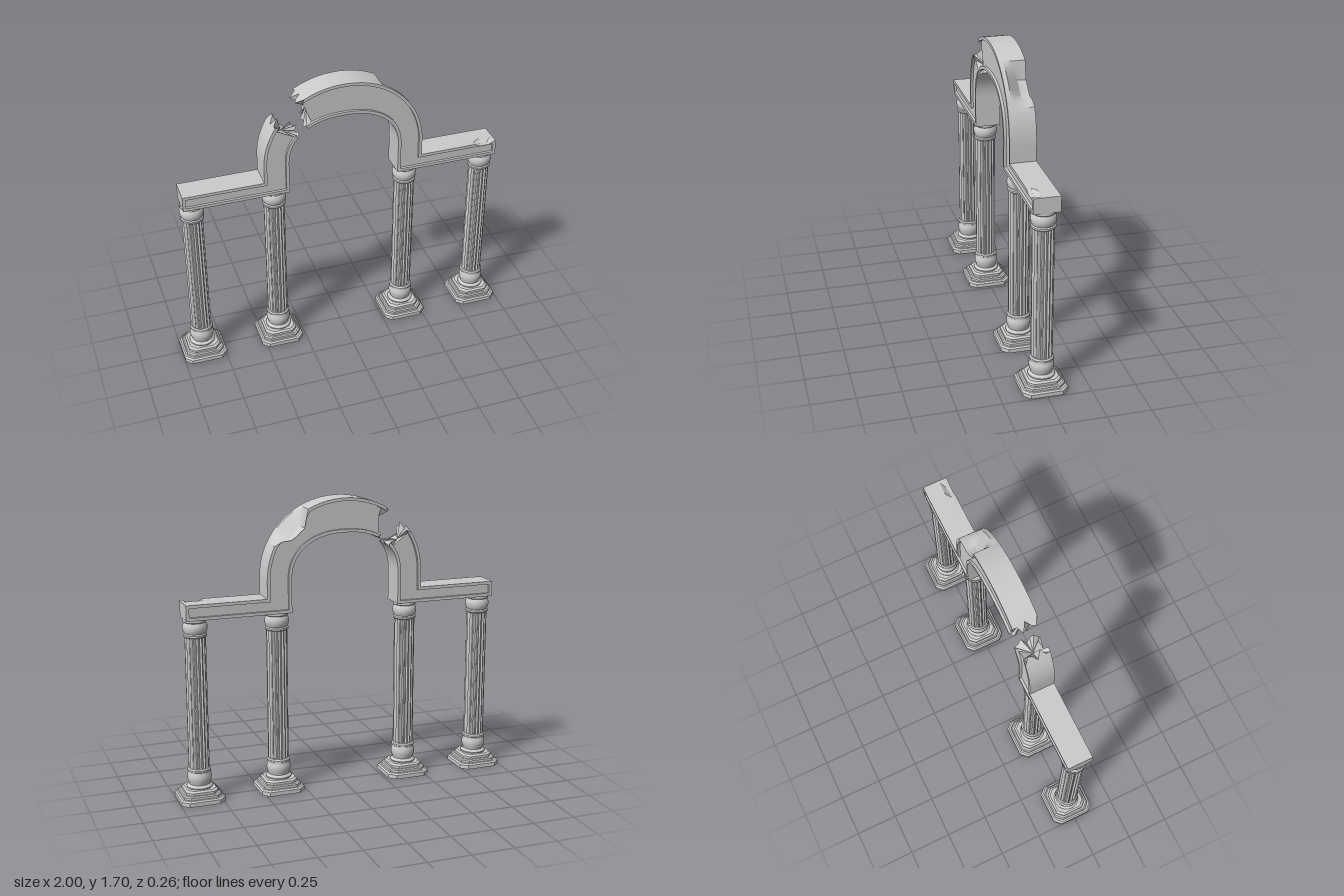
import * as THREE from 'three';
import { toCreasedNormals } from 'three/addons/utils/BufferGeometryUtils.js';

const stone = new THREE.MeshStandardMaterial({ color: 0xcccccc });
const stoneThin = new THREE.MeshStandardMaterial({ color: 0xcccccc, side: THREE.DoubleSide });
const HALF = 0.075, RECESS = 0.06, BORDER = 0.018, DEG = Math.PI / 180;
const clamp = THREE.MathUtils.clamp;

function add(parent, name, geometry, material = stone, crease = 0.6) {
  const mesh = new THREE.Mesh(toCreasedNormals(geometry, crease), material);
  mesh.name = name;
  parent.add(mesh);
  return mesh;
}

// Square slab with cut corners and a bevelled top rim
function slab(half, cut, y0, y1, bevel) {
  const ring = (h, y) => {
    const k = h - cut;
    return [[h, k], [k, h], [-k, h], [-h, k], [-h, -k], [-k, -h], [k, -h], [h, -k]].map(([x, z]) => [x, y, z]);
  };
  const rings = [ring(half, y0), ring(half, y1 - bevel), ring(half - bevel, y1)];
  const pos = [];
  for (let r = 0; r < 2; r++) for (let i = 0; i < 8; i++) {
    const j = (i + 1) % 8, a = rings[r][i], b = rings[r][j], c = rings[r + 1][i], d = rings[r + 1][j];
    pos.push(...a, ...c, ...b, ...b, ...c, ...d);
  }
  for (let i = 0; i < 8; i++) {
    const j = (i + 1) % 8;
    pos.push(0, y0, 0, ...rings[0][i], ...rings[0][j], 0, y1, 0, ...rings[2][j], ...rings[2][i]);
  }
  const g = new THREE.BufferGeometry();
  g.setAttribute('position', new THREE.Float32BufferAttribute(pos, 3));
  return g;
}

// Turned moulding from [radius, height] points
const turned = (pts) => new THREE.LatheGeometry(pts.map(([r, y]) => new THREE.Vector2(r, y)), 32);

// Shaft with concave flutes between flat fillets
function flutedShaft(r, depth, flutes, y0, y1) {
  const pts = [], steps = 8;
  for (let i = 0; i < flutes * steps; i++) {
    const t = (i % steps) / steps, a = (i / (flutes * steps)) * Math.PI * 2;
    const q = r - depth * Math.sin(Math.PI * clamp((t - 0.2) / 0.8, 0, 1));
    pts.push(new THREE.Vector2(q * Math.cos(a), q * Math.sin(a)));
  }
  const g = new THREE.ExtrudeGeometry(new THREE.Shape(pts), { depth: y1 - y0, bevelEnabled: false });
  return g.rotateX(-Math.PI / 2).translate(0, y0, 0);
}

function column() {
  const g = new THREE.Group();
  g.name = 'column';
  add(g, 'plinth', slab(0.128, 0.038, 0, 0.032, 0.008));
  add(g, 'middleStep', slab(0.11, 0.034, 0.032, 0.052, 0.006));
  add(g, 'upperStep', slab(0.094, 0.032, 0.052, 0.076, 0.01));
  add(g, 'baseMoulding', turned([
    [0, 0.074], [0.074, 0.074], [0.075, 0.083], [0.066, 0.09], [0.06, 0.096], [0.062, 0.104], [0.068, 0.12],
    [0.07, 0.138], [0.068, 0.155], [0.062, 0.168], [0.062, 0.172], [0.068, 0.176], [0.068, 0.186], [0.06, 0.193], [0, 0.193]]));
  add(g, 'flutedShaft', flutedShaft(0.06, 0.009, 16, 0.19, 0.966));
  add(g, 'capital', turned([
    [0, 0.96], [0.06, 0.96], [0.067, 0.966], [0.067, 0.976], [0.061, 0.982], [0.067, 0.994], [0.07, 1.01],
    [0.069, 1.025], [0.063, 1.04], [0.06, 1.044], [0.066, 1.049], [0.066, 1.066], [0, 1.066]]));
  return g;
}

// Entablature rails: 0 outer edge, 1 outer border, 2 inner border, 3 inner edge
const inset = [0, BORDER, BORDER, 0];
function beamPoint(x, rail) {
  return [x, rail < 2 ? 1.155 - inset[rail] : 1.065 + inset[rail]];
}
function cornerPoint(rail) {
  return beamPoint(rail < 2 ? 0.467 - inset[rail] : 0.322 + inset[rail], rail);
}
function archPoint(a, rail) {
  const outer = rail < 2, d = outer ? -inset[rail] : inset[rail];
  const c = Math.cos(a), s = Math.sin(a), p = outer ? 0.98 : 0.88;
  return [((outer ? 0.467 : 0.322) + d) * Math.sign(c) * Math.abs(c) ** p,
    1.25 + ((outer ? 0.45 : 0.255) + d) * Math.max(s, 0) ** p];
}

// Cross-section: [rail, z fraction, recessed]
const across = [1, 0.66, 0.33, 0, -0.33, -0.66, -1];
const section = [
  ...across.map((z) => [0, z, false]),
  [1, -1, false], [1, -1, true], [2, -1, true], [2, -1, false],
  ...across.slice().reverse().map((z) => [3, z, false]),
  [2, 1, false], [2, 1, true], [1, 1, true], [1, 1, false]];

// Beam turning up into an arch that breaks off at endDeg
function brokenArch(endDeg, steps, mirror, worn) {
  const stations = [];
  [0.932, 0.914, 0.914, 0.885, 0.86, 0.835, 0.8, 0.6].forEach((x, k) =>
    stations.push({ full: k < 2, at: (r) => beamPoint(x, r), x }));
  stations.push({ at: cornerPoint });
  for (let k = 0; k <= steps; k++) {
    const deg = (endDeg * k) / steps;
    stations.push({ deg, at: (r, i) => {
      const jag = k === steps ? 4 * Math.sin(i * 2.3 + endDeg) + [-1, -4, 0, 4][r] : 0;
      return archPoint((deg + jag) * DEG, r);
    } });
  }
  const n = section.length, pos = [], index = [];
  const rows = stations.map((st) => section.map(([rail, zf, rec], i) => {
    let [x, y] = st.at(rail, i);
    const z = zf * (rec && !st.full ? RECESS : HALF);
    // Bite out of the back shoulder and chip in the beam's front edge
    if (worn && rail < 2 && st.deg !== undefined) {
      const w = Math.min(1, 1.8 * Math.max(0, 1 - Math.abs(st.deg - 45) / 17));
      const bite = Math.max(0, 0.08 * w * clamp((0.05 - z) / 0.08, 0, 1) - inset[rail]);
      x -= bite * Math.cos(st.deg * DEG);
      y -= bite * Math.sin(st.deg * DEG);
    }
    if (worn && rail === 0 && st.x > 0.81 && st.x < 0.9 && z > 0.04) y -= 0.017;
    return [mirror ? -x : x, y, z];
  }));
  rows.forEach((row) => row.forEach((p) => pos.push(...p)));
  const tri = (a, b, c) => index.push(...(mirror ? [a, c, b] : [a, b, c]));
  for (let s = 0; s < rows.length - 1; s++) for (let i = 0; i < n; i++) {
    const a = s * n + i, b = s * n + ((i + 1) % n);
    tri(a, b, a + n);
    tri(b, b + n, a + n);
  }
  // Flat beam end and hollowed fracture face
  const middle = (row) => [0, 1, 2].map((k) => row.reduce((t, p) => t + p[k], 0) / n);
  const first = rows.length * n, last = (rows.length - 1) * n;
  pos.push(...middle(rows[0]), ...middle(rows[rows.length - 2]));
  for (let i = 0; i < n; i++) {
    const j = (i + 1) % n;
    tri(first, j, i);
    tri(first + 1, last + i, last + j);
  }
  const g = new THREE.BufferGeometry();
  g.setAttribute('position', new THREE.Float32BufferAttribute(pos, 3));
  g.setIndex(index);
  return g;
}

export function createModel() {
  const model = new THREE.Group();
  model.name = 'ruinedArcade';
  for (const x of [-0.872, -0.397, 0.392, 0.867]) {
    const c = column();
    c.position.x = x;
    model.add(c);
  }
  add(model, 'leftBeamAndArch', brokenArch(124, 24, false, true), stoneThin, 0.5);
  add(model, 'rightBeamAndArchStump', brokenArch(35, 7, true, false), stoneThin, 0.5);
  return model;
}
